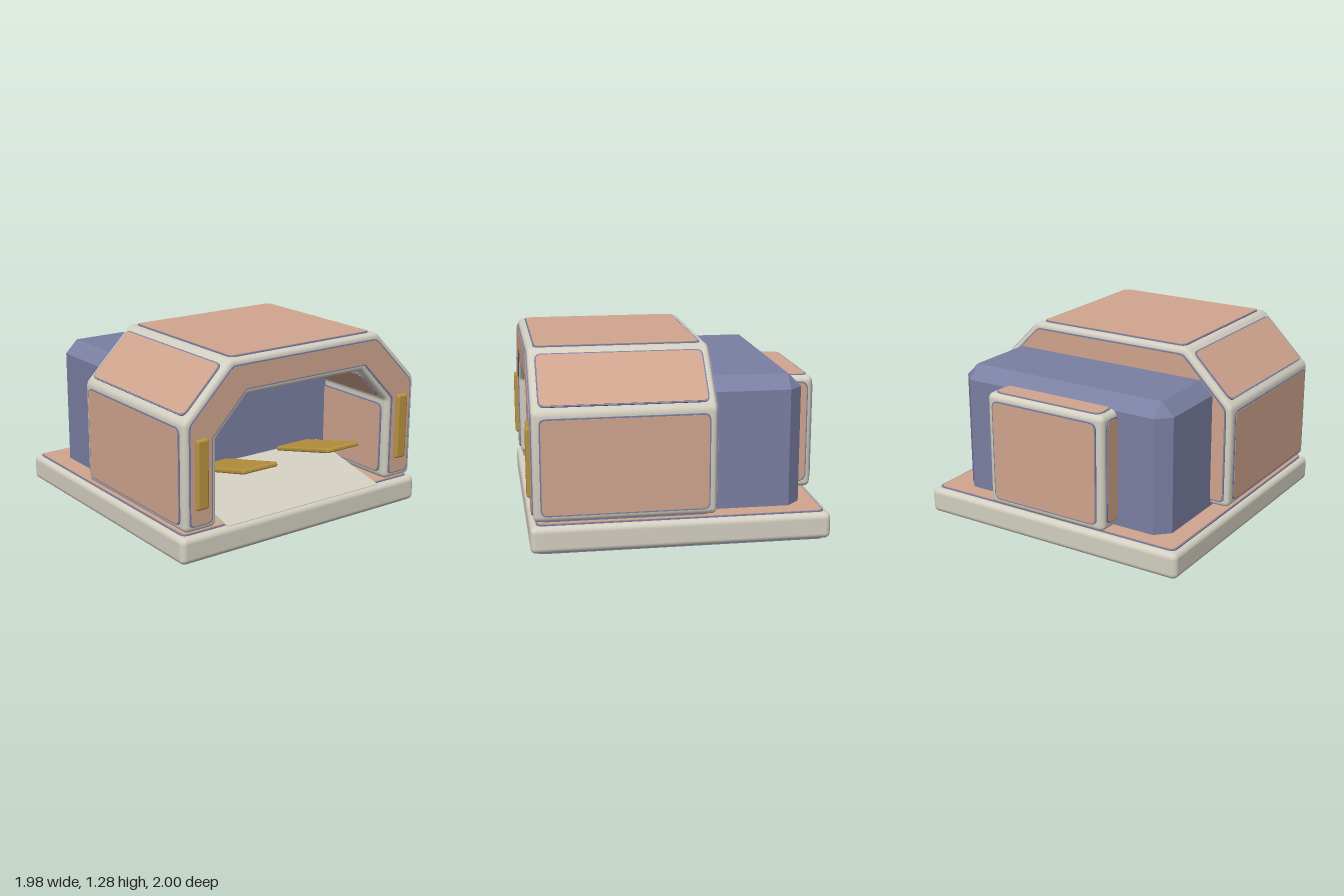
import * as THREE from 'three';
import { toCreasedNormals } from 'three/addons/utils/BufferGeometryUtils.js';
import { RoundedBoxGeometry } from 'three/addons/geometries/RoundedBoxGeometry.js';
import { ConvexGeometry } from 'three/addons/geometries/ConvexGeometry.js';

const mat = (name, color) => new THREE.MeshStandardMaterial({ name, color });

export function createModel() {
  const cream = mat('cream frame', 0xd3cfc1);
  const salmon = mat('salmon panel', 0xd0a58e);
  const blue = mat('slate blue', 0x7b7fa2);
  const gold = mat('gold', 0xb8933f);
  const model = new THREE.Group();
  model.name = 'shelter';

  const add = (name, geometry, material, x = 0, y = 0, z = 0, parent = model) => {
    const mesh = new THREE.Mesh(geometry, material);
    mesh.name = name;
    mesh.position.set(x, y, z);
    parent.add(mesh);
    return mesh;
  };

  // Polygon with rounded corners, each point being [x, y, corner cut]
  const roundedShape = (pts) => {
    const shape = new THREE.Shape();
    const v = pts.map(([x, y]) => new THREE.Vector2(x, y));
    v.forEach((p, i) => {
      const prev = v[(i + v.length - 1) % v.length], next = v[(i + 1) % v.length], r = pts[i][2];
      const a = prev.clone().sub(p).setLength(r).add(p);
      const b = next.clone().sub(p).setLength(r).add(p);
      if (i === 0) shape.moveTo(a.x, a.y); else shape.lineTo(a.x, a.y);
      shape.quadraticCurveTo(p.x, p.y, b.x, b.y);
    });
    shape.closePath();
    return shape;
  };
  const rectShape = (w, h, r) => roundedShape(
    [[-w / 2, -h / 2, r], [w / 2, -h / 2, r], [w / 2, h / 2, r], [-w / 2, h / 2, r]]);
  const slab = (shape, z0, z1) => new THREE.ExtrudeGeometry(shape,
    { depth: z1 - z0, bevelEnabled: false, curveSegments: 5 }).translate(0, 0, z0);

  // Salmon plate on a slightly larger blue backing
  const plated = (name, outer, inner) => {
    const group = new THREE.Group();
    group.name = name;
    add('backing', slab(outer, -0.01, 0.008), blue, 0, 0, 0, group);
    add('plate', slab(inner, 0.008, 0.011), salmon, 0, 0, 0, group);
    model.add(group);
    return group;
  };
  // Rectangular panel; w runs along x on z-facing panels and along z otherwise
  const panel = (name, w, h, pos, normal, r = 0.04) => {
    const group = plated(name, rectShape(w + 0.018, h + 0.018, r + 0.006), rectShape(w, h, r));
    const n = new THREE.Vector3(...normal).normalize();
    const u = normal[2] ? new THREE.Vector3(1, 0, 0) : new THREE.Vector3(0, 0, 1);
    const t = n.clone().cross(u);
    group.quaternion.setFromRotationMatrix(new THREE.Matrix4().makeBasis(u, t, n));
    group.position.set(...pos);
  };

  // Base
  add('base', new RoundedBoxGeometry(1.98, 0.18, 1.97, 4, 0.04), cream, 0, 0.1, 0.005);
  panel('baseTopPanel', 1.87, 1.89, [0, 0.19, 0.005], [0, 1, 0]);
  panel('baseBottomPanel', 1.87, 1.89, [0, 0.011, 0.005], [0, -1, 0]);

  // Arch outline, shrunk by d on every edge
  const archShape = (d, convex, concave) => {
    const k = d * 0.414;
    const half = [
      [0.71 + d, 0.21 + d, convex], [0.955 - d, 0.21 + d, convex],
      [0.955 - d, 0.92 - k, convex], [0.605 - k, 1.27 - d, convex]];
    const inside = [[0.475 + k, 1.03 + d, concave], [0.71 + d, 0.785 + k, concave]];
    const flip = (list) => list.map(([x, y, r]) => [-x, y, r]).reverse();
    return roundedShape([...half, ...flip(half), ...flip(inside), ...inside]);
  };
  const archGeo = new THREE.ExtrudeGeometry(archShape(0.03, 0.012, 0.03), {
    depth: 1.125, bevelEnabled: true, bevelSize: 0.03, bevelThickness: 0.03,
    bevelSegments: 4, curveSegments: 4 });
  add('arch', toCreasedNormals(archGeo, 0.7), cream, 0, 0, -0.19);

  // Arch end panels
  const front = plated('archFrontPanel', archShape(0.036, 0.03, 0.012), archShape(0.045, 0.03, 0.012));
  front.position.z = 0.965;
  const back = plated('archBackPanel', archShape(0.036, 0.03, 0.012), archShape(0.045, 0.03, 0.012));
  back.position.z = -0.22;
  back.rotation.y = Math.PI;

  // Outer and inner wall panels
  const zc = 0.373, len = 1.075;
  panel('roofPanel', len, 1.13, [0, 1.27, zc], [0, 1, 0]);
  panel('ceilingPanel', len, 0.84, [0, 1.03, zc], [0, -1, 0]);
  for (const s of [1, -1]) {
    const side = s > 0 ? 'left' : 'right';
    panel(side + 'WallPanel', len, 0.62, [s * 0.955, 0.57, zc], [s, 0, 0]);
    panel(side + 'SlopePanel', len, 0.385, [s * 0.78, 1.095, zc], [s, 1, 0]);
    panel(side + 'InnerWallPanel', len, 0.48, [s * 0.71, 0.5, zc], [-s, 0, 0]);
    panel(side + 'InnerSlopePanel', len, 0.24, [s * 0.5925, 0.9075, zc], [-s, -0.96, 0]);
    panel(side + 'FootPanel', len, 0.15, [s * 0.8325, 0.21, zc], [0, -1, 0]);
    // Lamps on the legs and tilted plates in the entrance
    add(side + 'Lamp', new RoundedBoxGeometry(0.09, 0.46, 0.06, 3, 0.018), gold, s * 0.833, 0.585, 0.97);
    add(side + 'TiltedPlate', new RoundedBoxGeometry(0.28, 0.032, 0.56, 3, 0.012), gold,
      s * 0.35, 0.447, 0.67).rotation.x = -0.24;
  }

  // Inner cabin with chamfered edges
  const pts = [], hx = 0.82, hz = 0.575, top = 1.08, c = 0.09;
  for (const sx of [1, -1]) for (const sz of [1, -1]) {
    for (const y of [0.195, top - c]) {
      pts.push(new THREE.Vector3(sx * hx, y, sz * (hz - c)), new THREE.Vector3(sx * (hx - c), y, sz * hz));
    }
    pts.push(new THREE.Vector3(sx * (hx - c), top, sz * (hz - c)));
  }
  add('cabin', new ConvexGeometry(pts), blue, 0, 0, -0.245);

  // Entrance ramp, profile drawn in z and y
  const ramp = new THREE.Shape([[-0.985, 0.195], [-0.32, 0.195], [-0.32, 0.35], [-0.985, 0.2]]
    .map(([x, y]) => new THREE.Vector2(x, y)));
  add('ramp', slab(ramp, -0.637, 0.637).rotateY(Math.PI / 2), cream);

  // Rear equipment box
  add('rearBox', new RoundedBoxGeometry(0.91, 0.79, 0.21, 4, 0.04), cream, 0, 0.6, -0.88);
  panel('rearBoxBackPanel', 0.8, 0.68, [0, 0.6, -0.985], [0, 0, -1]);
  panel('rearBoxTopPanel', 0.14, 0.81, [0, 0.992, -0.875], [0, 1, 0], 0.05);
  for (const s of [1, -1]) {
    panel(s > 0 ? 'rearBoxLeftPanel' : 'rearBoxRightPanel', 0.13, 0.69, [s * 0.455, 0.605, -0.873], [s, 0, 0], 0.05);
  }
  return model;
}
